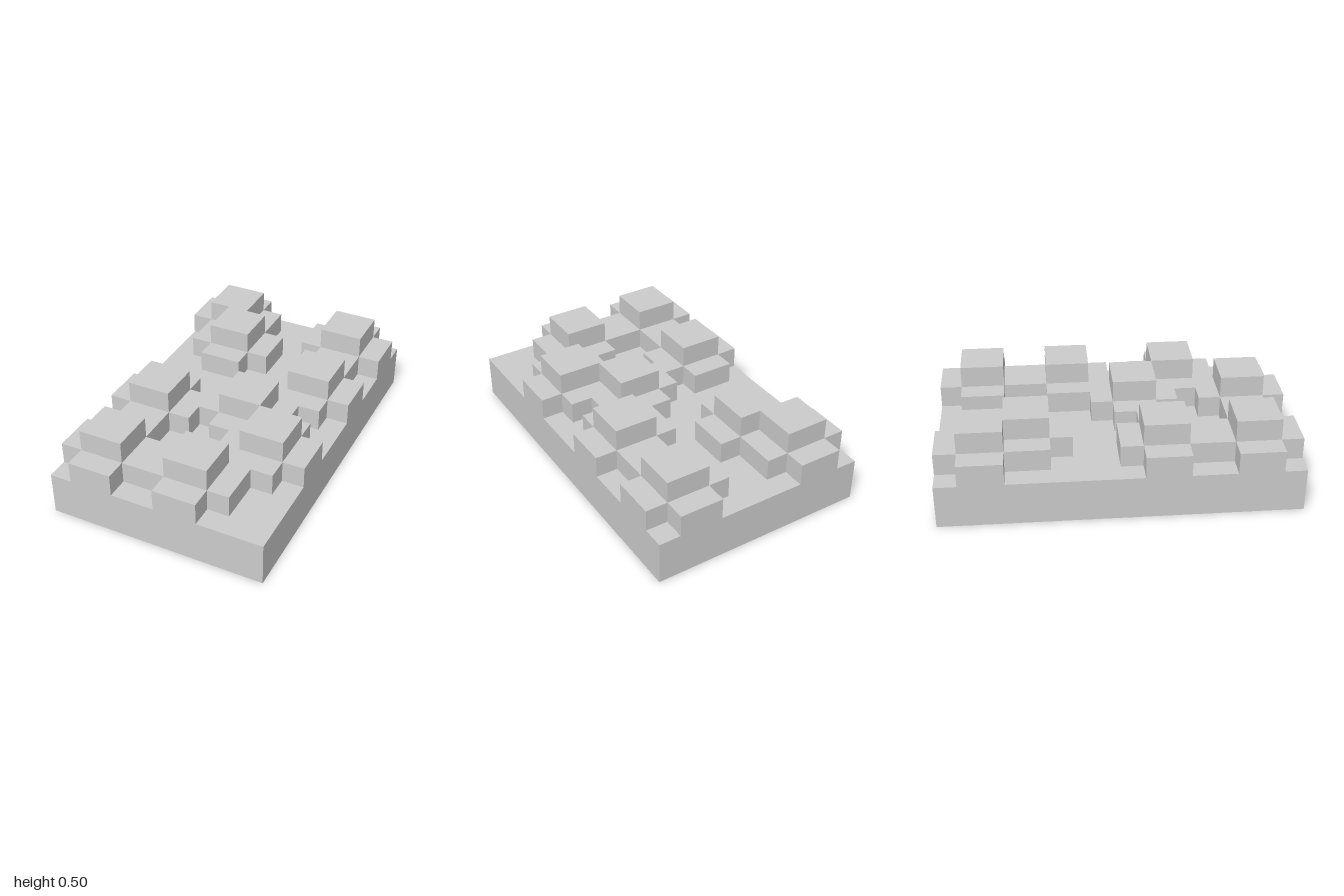
import * as THREE from 'three';

const CELL = 0.125, HALF_X = 5, HALF_Z = 8;
const BASE = 2, LOWER = 3, UPPER = 4; // tier heights in cells

// Centres [x, z] of the stepped mounds, in cells
const MOUNDS = [
  [-3, 6], [1, 6], [3, 3], [1, 1], [-3, 2],
  [3, -2], [3, -6], [-3, -6], [-2, -4],
];

// Height of the cell whose low corner is (x, z): 2x2 cap, cross-shaped skirt, flat slab
function heightAt(x, z) {
  if (x < -HALF_X || x >= HALF_X || z < -HALF_Z || z >= HALF_Z) return 0;
  let h = BASE;
  for (const [mx, mz] of MOUNDS) {
    const dx = Math.abs(x + 0.5 - mx), dz = Math.abs(z + 0.5 - mz);
    if (dx < 1 && dz < 1) h = UPPER;
    else if (Math.min(dx, dz) < 1 && Math.max(dx, dz) < 2) h = Math.max(h, LOWER);
  }
  return h;
}

// Exposed faces of one tier between heights lo and hi
function makeTier(name, lo, hi, material) {
  const positions = [];
  const quad = (a, b, c, d) => {
    for (const p of [a, b, c, a, c, d]) positions.push(...p.map((v) => v * CELL));
  };
  for (let x = -HALF_X; x < HALF_X; x++) {
    for (let z = -HALF_Z; z < HALF_Z; z++) {
      const h = heightAt(x, z);
      if (h < hi) continue;
      // top
      if (h === hi) quad([x, hi, z + 1], [x + 1, hi, z + 1], [x + 1, hi, z], [x, hi, z]);
      // underside
      if (lo === 0) quad([x, 0, z], [x + 1, 0, z], [x + 1, 0, z + 1], [x, 0, z + 1]);
      // walls facing lower neighbours
      for (const [nx, nz] of [[1, 0], [-1, 0], [0, 1], [0, -1]]) {
        if (heightAt(x + nx, z + nz) >= hi) continue;
        const at = (side, y) => [
          x + 0.5 + (nx + side * nz) / 2, y, z + 0.5 + (nz - side * nx) / 2,
        ];
        quad(at(-1, lo), at(1, lo), at(1, hi), at(-1, hi));
      }
    }
  }
  const geometry = new THREE.BufferGeometry();
  geometry.setAttribute('position', new THREE.Float32BufferAttribute(positions, 3));
  geometry.computeVertexNormals();
  const mesh = new THREE.Mesh(geometry, material);
  mesh.name = name;
  return mesh;
}

export function createModel() {
  const group = new THREE.Group();
  group.name = 'steppedMoundSlab';
  const material = new THREE.MeshStandardMaterial({ color: 0xcccccc, flatShading: true });
  group.add(
    makeTier('baseSlab', 0, BASE, material),
    makeTier('moundSkirts', BASE, LOWER, material),
    makeTier('moundCaps', LOWER, UPPER, material),
  );
  return group;
}
